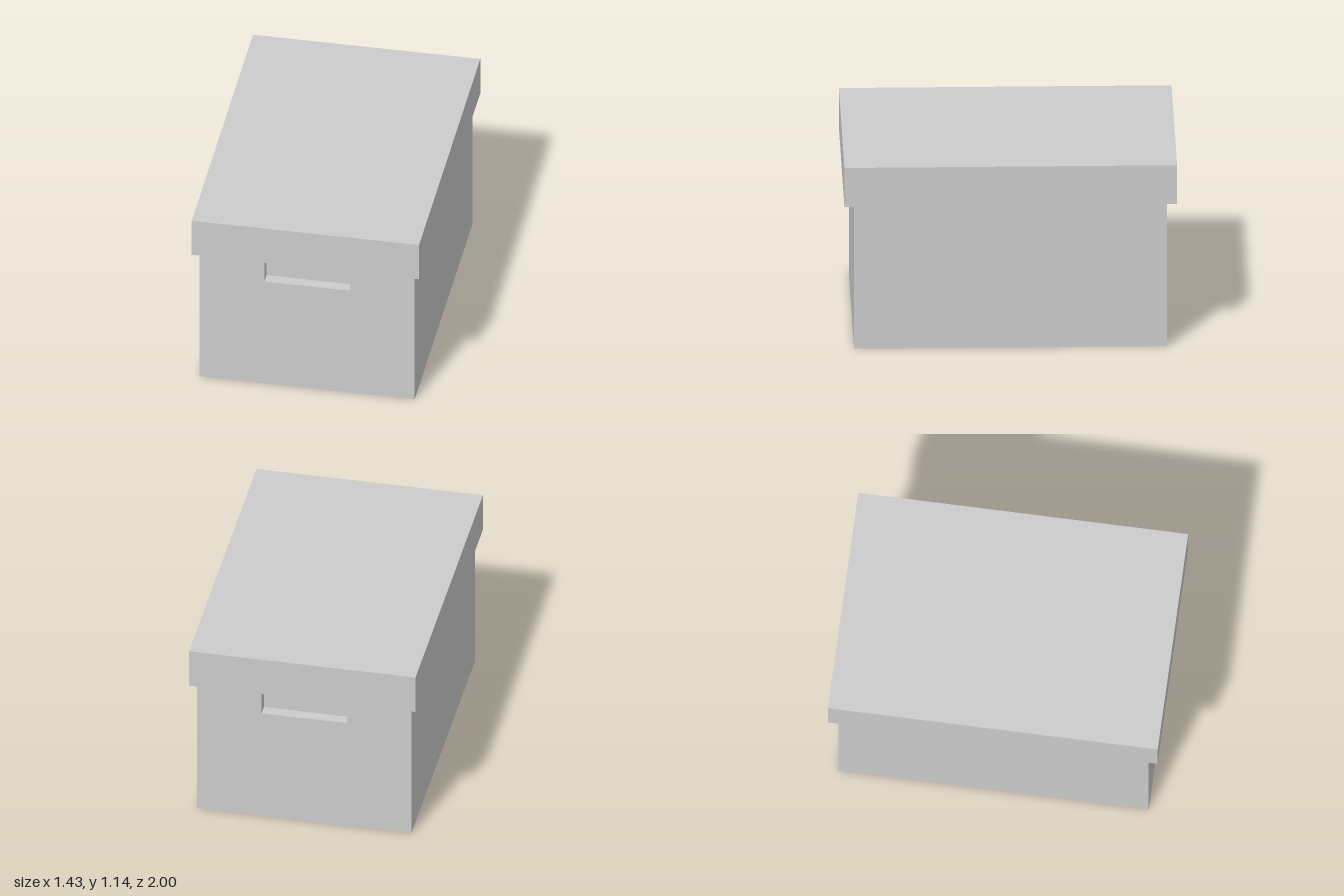
import * as THREE from 'three';

const WIDTH = 1.283, LENGTH = 1.836;        // box body
const LID_Y = 0.9, TOP_Y = 1.143;           // underside and top of the lid
const GRIP_Y = 0.725, GRIP_HALF = 0.255, GRIP_DEPTH = 0.067;

export function createModel() {
  const model = new THREE.Group();
  model.name = 'storageBox';
  const grey = new THREE.MeshStandardMaterial({ color: 0xcccccc });
  grey.name = 'grey';

  const add = (name, geometry, y) => {
    const mesh = new THREE.Mesh(geometry, grey);
    mesh.name = name;
    mesh.position.y = y;
    model.add(mesh);
  };

  // Lower body, up to the floor of the hand grips
  add('lowerBody', new THREE.BoxGeometry(WIDTH, GRIP_Y, LENGTH), GRIP_Y / 2);

  // Upper body: floor plan with a grip recess at each end
  const w = WIDTH / 2, l = LENGTH / 2, g = GRIP_HALF, d = l - GRIP_DEPTH;
  const halfPlan = [[w, -l], [w, l], [g, l], [g, d], [-g, d], [-g, l]];
  const plan = [1, -1].flatMap(s => halfPlan.map(([x, z]) => new THREE.Vector2(s * x, s * z)));
  const upper = new THREE.ExtrudeGeometry(new THREE.Shape(plan), {
    depth: LID_Y - GRIP_Y, bevelEnabled: false,
  });
  upper.rotateX(-Math.PI / 2);
  add('upperBodyWithGrips', upper, GRIP_Y);

  // Overhanging lid
  add('lid', new THREE.BoxGeometry(1.356, TOP_Y - LID_Y, 1.951), (LID_Y + TOP_Y) / 2);

  // The whole box stands slightly turned
  model.rotation.y = -0.0368;
  const root = new THREE.Group();
  root.name = 'storageBoxRoot';
  root.add(model);
  return root;
}
